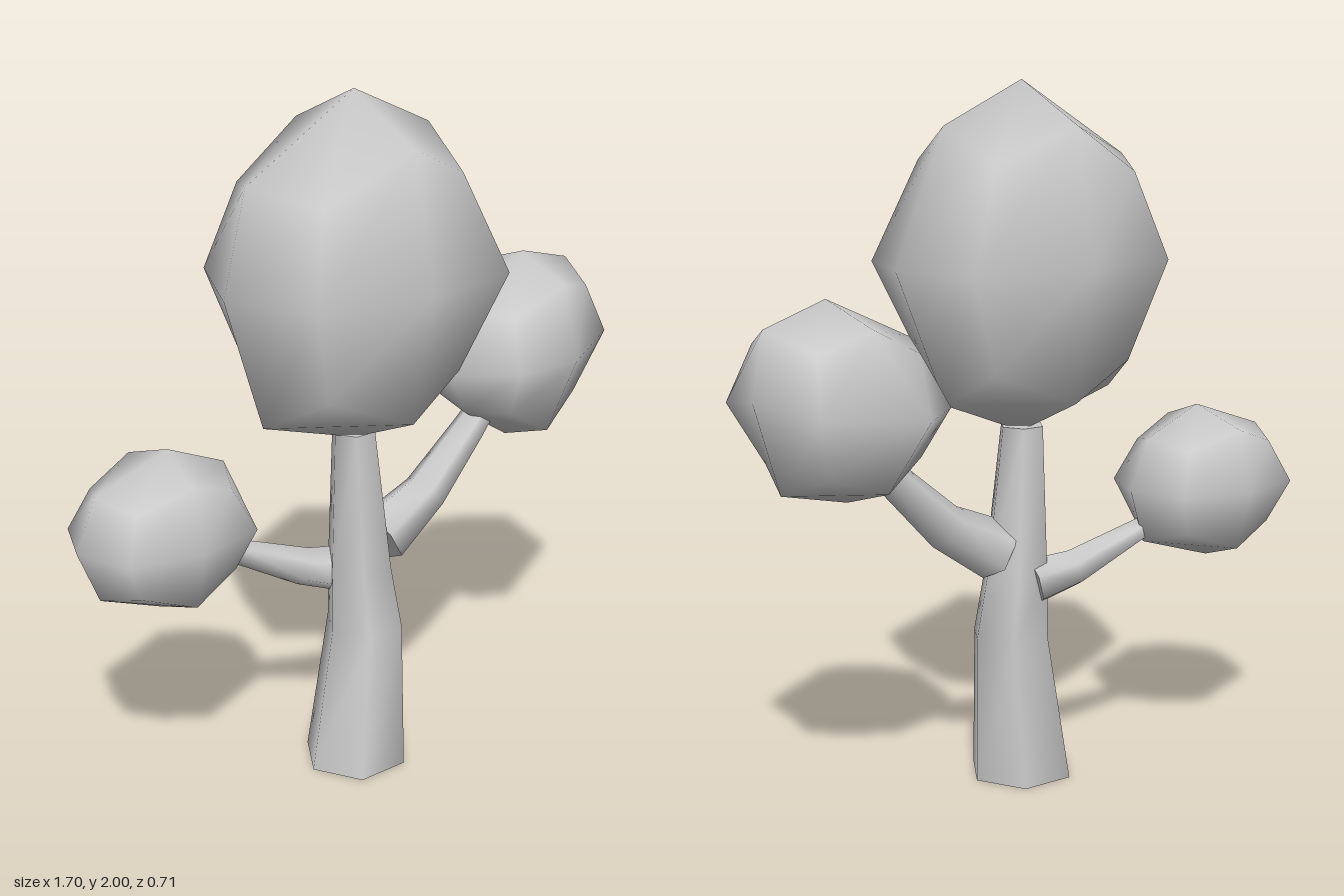
import * as THREE from 'three';
import { mergeVertices } from 'three/addons/utils/BufferGeometryUtils.js';

const material = new THREE.MeshStandardMaterial({ color: 0xcccccc });
const V = (x, y, z) => new THREE.Vector3(x, y, z);

function named(name, geometry) {
  const mesh = new THREE.Mesh(geometry, material);
  mesh.name = name;
  return mesh;
}

// Six-sided tapering limb through [x, y, z, radius] stations, with end caps.
function limb(name, stations, axis) {
  const sides = 6, pos = [], index = [];
  const centres = stations.map(([x, y, z]) => V(x, y, z));
  const last = stations.length - 1;
  const rings = stations.map((s, i) => {
    const t = axis ? axis.clone()
      : centres[Math.min(i + 1, last)].clone().sub(centres[Math.max(i - 1, 0)]).normalize();
    const u = t.clone().cross(V(0, 0, 1)).normalize();
    const v = t.clone().cross(u);
    return Array.from({ length: sides }, (_, j) => {
      const a = j / sides * Math.PI * 2;
      return centres[i].clone()
        .addScaledVector(u, Math.cos(a) * s[3])
        .addScaledVector(v, Math.sin(a) * s[3]);
    });
  });
  rings.flat().forEach(p => pos.push(p.x, p.y, p.z));
  for (let i = 0; i < last; i++) {
    for (let j = 0; j < sides; j++) {
      const a = i * sides + j, b = i * sides + (j + 1) % sides;
      index.push(a, b, b + sides, a, b + sides, a + sides);
    }
  }
  // Caps keep their own corners so that their rims stay sharp.
  for (const [ring, flip] of [[rings[0], true], [rings[last], false]]) {
    const base = pos.length / 3;
    ring.forEach(p => pos.push(p.x, p.y, p.z));
    for (let j = 1; j < sides - 1; j++) {
      index.push(base, base + (flip ? j + 1 : j), base + (flip ? j : j + 1));
    }
  }
  const g = new THREE.BufferGeometry();
  g.setAttribute('position', new THREE.Float32BufferAttribute(pos, 3));
  g.setIndex(index);
  g.computeVertexNormals();
  return named(name, g);
}

// Rounded cube of foliage. "moved" shifts single face or edge points, keyed by
// their side signs; each corner follows the three edge points around it.
function foliage(name, centre, radii, moved = {}) {
  const c = V(...centre), r = V(...radii);
  const offset = (x, y, z) => {
    const key = [x, y, z].join();
    if (moved[key]) return V(...moved[key]).sub(c);
    const count = Math.abs(x) + Math.abs(y) + Math.abs(z);
    if (count === 3) {
      return offset(x, y, 0).add(offset(x, 0, z)).add(offset(0, y, z)).multiplyScalar(0.37);
    }
    return V(x, y, z).multiply(r).multiplyScalar(count === 2 ? 0.76 : 1);
  };
  let g = new THREE.BoxGeometry(2, 2, 2, 2, 2, 2);
  g.deleteAttribute('uv');
  g.deleteAttribute('normal');
  g = mergeVertices(g);
  const p = g.attributes.position;
  const sign = n => Math.round(n) + 0;
  for (let i = 0; i < p.count; i++) {
    const q = offset(sign(p.getX(i)), sign(p.getY(i)), sign(p.getZ(i))).add(c);
    p.setXYZ(i, q.x, q.y, q.z);
  }
  g.computeVertexNormals();
  return named(name, g);
}

export function createModel() {
  const tree = new THREE.Group();
  tree.name = 'tree';

  // Trunk and branches
  tree.add(limb('trunk', [
    [-0.043, 0, 0.015, 0.156],
    [0, 0.43, 0.005, 0.117],
    [-0.015, 0.62, 0, 0.098],
    [-0.035, 1.04, 0, 0.065],
  ], V(0, 1, 0)));
  tree.add(limb('leftBranch', [
    [0.05, 0.685, 0.01, 0.088],
    [0.225, 0.78, 0.005, 0.066],
    [0.39, 0.935, 0, 0.05],
    [0.46, 1.01, 0, 0.042],
  ]));
  tree.add(limb('rightBranch', [
    [-0.04, 0.59, -0.05, 0.07],
    [-0.16, 0.62, -0.08, 0.056],
    [-0.375, 0.717, -0.125, 0.034],
    [-0.4, 0.728, -0.13, 0.032],
  ]));

  // Foliage
  tree.add(foliage('mainFoliage', [-0.04, 1.51, 0.01], [0.415, 0.49, 0.34], {
    '-1,1,0': [-0.39, 1.79, 0.01],
    '1,1,0': [0.215, 1.88, 0.01],
    '1,-1,0': [0.215, 1.12, 0.01],
    '-1,-1,0': [-0.35, 1.12, 0.01],
    '1,0,0': [0.37, 1.5, 0.01],
    '-1,0,0': [-0.465, 1.5, 0.01],
    '1,0,1': [0.29, 1.5, 0.27],
    '1,0,-1': [0.29, 1.5, -0.25],
  }));
  tree.add(foliage('leftFoliage', [0.57, 1.17, -0.02], [0.285, 0.28, 0.265], {
    '0,1,0': [0.59, 1.445, 0],
    '0,-1,0': [0.53, 0.89, 0.01],
    '1,0,0': [0.85, 1.21, -0.08],
    '-1,0,0': [0.275, 1.14, 0.05],
    '0,0,1': [0.59, 1.17, 0.24],
    '0,0,-1': [0.45, 1.15, -0.29],
    '1,1,0': [0.79, 1.385, -0.03],
    '-1,1,0': [0.335, 1.325, 0],
    '1,-1,0': [0.75, 0.945, -0.03],
    '-1,-1,0': [0.36, 1, 0.02],
    '1,0,1': [0.83, 1.18, 0.11],
    '1,0,-1': [0.74, 1.17, -0.235],
    '-1,0,1': [0.38, 1.17, 0.23],
    '-1,0,-1': [0.3, 1.15, -0.15],
    '0,1,1': [0.6, 1.38, 0.17],
    '0,1,-1': [0.55, 1.38, -0.18],
    '0,-1,1': [0.56, 0.94, 0.16],
    '0,-1,-1': [0.52, 0.95, -0.19],
  }));
  tree.add(foliage('rightFoliage', [-0.585, 0.835, -0.143], [0.267, 0.23, 0.213], {
    '0,1,0': [-0.56, 1.065, -0.143],
    '0,-1,0': [-0.605, 0.605, -0.143],
    '-1,-1,0': [-0.79, 0.68, -0.143],
    '1,-1,0': [-0.365, 0.68, -0.143],
    '1,1,0': [-0.38, 0.985, -0.143],
    '-1,1,0': [-0.79, 0.985, -0.143],
  }));

  return tree;
}
